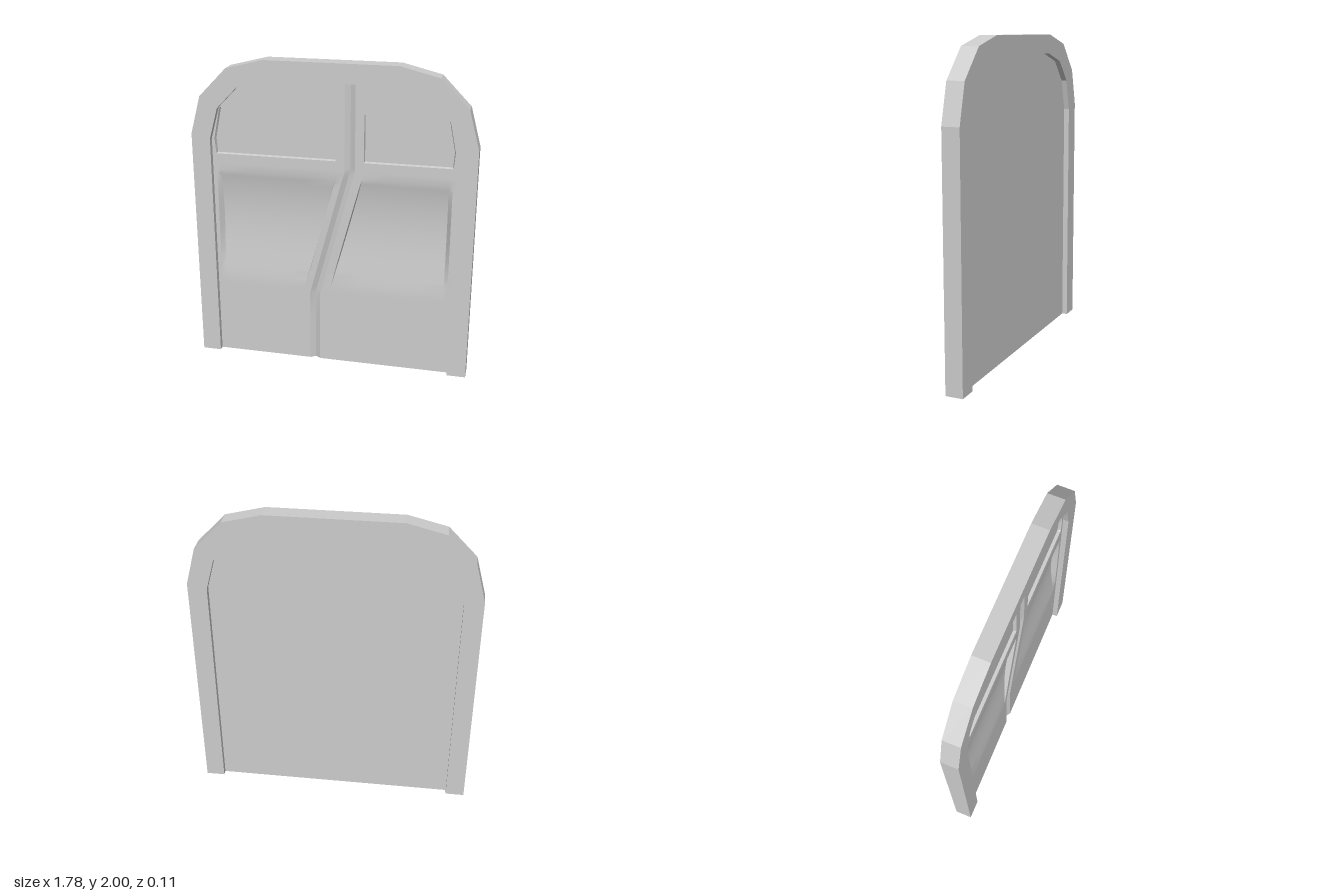
import * as THREE from 'three';
import { toCreasedNormals } from 'three/addons/utils/BufferGeometryUtils.js';

// Half outlines [x, y] of the surround, from the foot to the crown
const OUTER = [[0.89, 0], [0.89, 1.52], [0.825, 1.76], [0.65, 1.94], [0.41, 2]];
const INNER = [[0.77, 0], [0.77, 1.49], [0.715, 1.69], [0.585, 1.825], [0.385, 1.88]];
// Line of the split between the two leaves, as [x, y]
const SEAM = [[-0.125, 0], [-0.125, 0.48], [0.1, 1.33], [0.1, 1.88]];
const FRONT = 0.02, BACK = -0.02, HALF_DEPTH = 0.055;

// x on a polyline at height y
function xAt(line, y) {
  for (let i = 1; i < line.length; i++) {
    const [x0, y0] = line[i - 1], [x1, y1] = line[i];
    if (y <= y1) return x0 + (x1 - x0) * (y - y0) / (y1 - y0);
  }
  return line[line.length - 1][0];
}

const mirrored = half => [...half].reverse().map(([x, y]) => [-x, y]);
const toShape = pts => new THREE.Shape(pts.map(([x, y]) => new THREE.Vector2(x, y)));

// Depth of the window recess or the curved scoop at height y
function recessDepth(y) {
  if (y > 1.394 && y < 1.686) return 0.02;
  if (y > 0.52 && y < 1.28) {
    const t = (1.28 - y) / 0.76;
    return 0.035 * t * Math.pow(1 - t, 1.5) / 0.186;
  }
  return 0;
}

// One row of the relief: [x, z] across both leaves and the groove
function reliefRow(y) {
  const w = xAt(INNER, y), s = xAt(SEAM, y), upper = y > 1.335;
  const margin = y < 1.39 ? 0.025 : THREE.MathUtils.lerp(0.025, 0.003, Math.min(1, (y - 1.39) / 0.3));
  const soft = upper ? 0.006 : 0.025;
  const low = FRONT - recessDepth(y);
  const leftEdge = s - (upper ? 0.075 : 0.062), rightEdge = s + 0.1;
  const row = [[-w, FRONT], [-w + margin, FRONT]];
  const fill = (a, b) => {
    for (let i = 0; i <= 4; i++) row.push([a + (b - a) * i / 4, low]);
  };
  fill(-w + margin + soft, leftEdge - 0.004);
  row.push([leftEdge, FRONT], [s - 0.02, FRONT], [s + 0.012, FRONT - 0.022], [s + 0.045, FRONT], [rightEdge, FRONT]);
  fill(rightEdge + 0.004, w - margin - soft);
  row.push([w - margin, FRONT], [w, FRONT]);
  return row;
}

function leavesGeometry() {
  const ys = [0, 0.25, 0.48, 0.52];
  for (let i = 1; i <= 24; i++) ys.push(0.52 + 0.76 * i / 24);
  ys.push(1.33, 1.34, 1.39, 1.395, 1.49, 1.685, 1.69, 1.76, 1.825, 1.88);
  const rows = ys.map(y => reliefRow(y).map(([x, z]) => [x, y, z]));
  // First row turns under to close the bottom edge
  rows.unshift(rows[0].map(([x]) => [x, 0, BACK]));
  const n = rows[0].length, index = [];
  for (let r = 0; r < rows.length - 1; r++) {
    for (let c = 0; c < n - 1; c++) {
      const a = r * n + c, b = a + 1, d = a + n, e = d + 1;
      index.push(a, b, e, a, e, d);
    }
  }
  const geo = new THREE.BufferGeometry();
  geo.setAttribute('position', new THREE.Float32BufferAttribute(rows.flat(2), 3));
  geo.setIndex(index);
  return toCreasedNormals(geo, 0.3);
}

export function createModel() {
  const model = new THREE.Group();
  model.name = 'archedDoor';
  const material = new THREE.MeshStandardMaterial({ color: 0xcccccc });
  const add = (name, geometry) => {
    const mesh = new THREE.Mesh(geometry, material);
    mesh.name = name;
    model.add(mesh);
    return mesh;
  };

  // Faceted arch surround, open at the foot
  const arch = [...OUTER, ...mirrored(OUTER), ...mirrored(INNER).reverse(), ...[...INNER].reverse()];
  const frame = new THREE.ExtrudeGeometry(toShape(arch), { depth: 2 * HALF_DEPTH, bevelEnabled: false });
  frame.translate(0, 0, -HALF_DEPTH);
  add('frame', frame);

  // Two leaves with windows, scoops and the slanted split
  add('doorLeaves', leavesGeometry());

  // Plain back, set in from the surround
  const back = new THREE.ShapeGeometry(toShape([...INNER, ...mirrored(INNER)]));
  back.rotateY(Math.PI);
  add('backPanel', back).position.z = BACK;

  return model;
}
